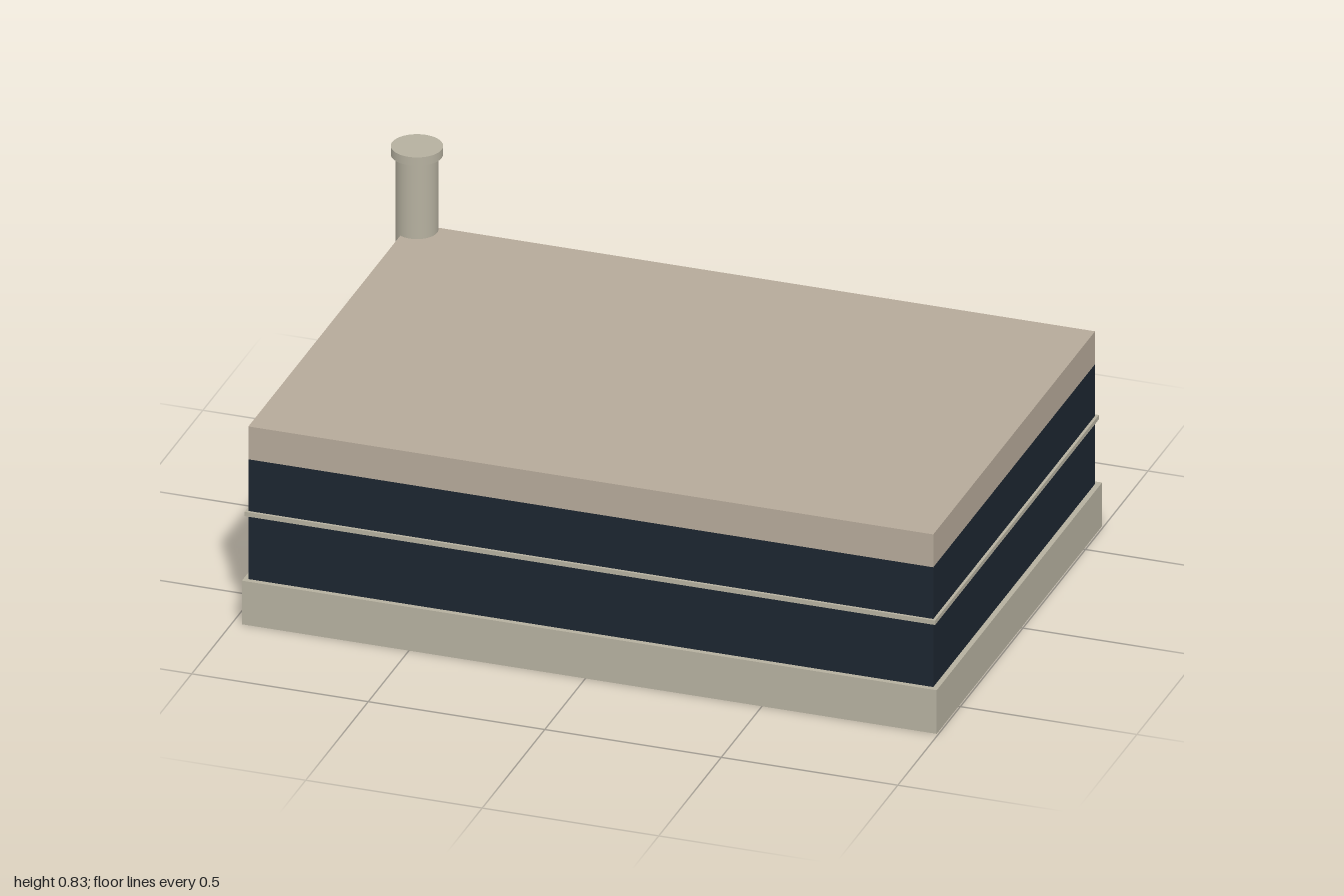
import * as THREE from 'three';

export function createModel() {
  const group = new THREE.Group();
  group.name = 'flatRoofedBuilding';

  const paint = (color) => new THREE.MeshStandardMaterial({ color });
  const stone = paint(0xb5b09f);
  const roofTan = paint(0xb5a999);
  const glass = paint(0x1c2530);

  // Box given by its lower and upper limits on each axis
  const slab = (name, material, [x0, x1], [y0, y1], [z0, z1]) => {
    const mesh = new THREE.Mesh(new THREE.BoxGeometry(x1 - x0, y1 - y0, z1 - z0), material);
    mesh.position.set((x0 + x1) / 2, (y0 + y1) / 2, (z0 + z1) / 2);
    mesh.name = name;
    group.add(mesh);
  };

  // Upright cylinder on the corner tower's axis
  const drum = (name, material, radius, y0, y1) => {
    const mesh = new THREE.Mesh(new THREE.CylinderGeometry(radius, radius, y1 - y0, 48), material);
    mesh.position.set(-0.93, (y0 + y1) / 2, -0.603);
    mesh.name = name;
    group.add(mesh);
  };

  // Main block: plinth, two glazed storeys, a thin band between them, roof
  const wallX = [-0.96, 0.98];
  const wallZ = [-0.633, 0.66];
  slab('plinth', stone, [-0.973, 0.995], [0, 0.13], [-0.647, 0.675]);
  slab('lowerGlazing', glass, wallX, [0.13, 0.32], wallZ);
  slab('floorBand', stone, [-0.968, 0.988], [0.32, 0.333], [-0.641, 0.668]);
  slab('upperGlazing', glass, wallX, [0.333, 0.487], wallZ);
  slab('roof', roofTan, wallX, [0.487, 0.585], wallZ);

  // Round tower on the back corner
  drum('towerShaft', stone, 0.057, 0, 0.81);
  drum('towerRing', stone, 0.063, 0.396, 0.414);
  drum('towerCap', stone, 0.07, 0.81, 0.835);

  return group;
}
